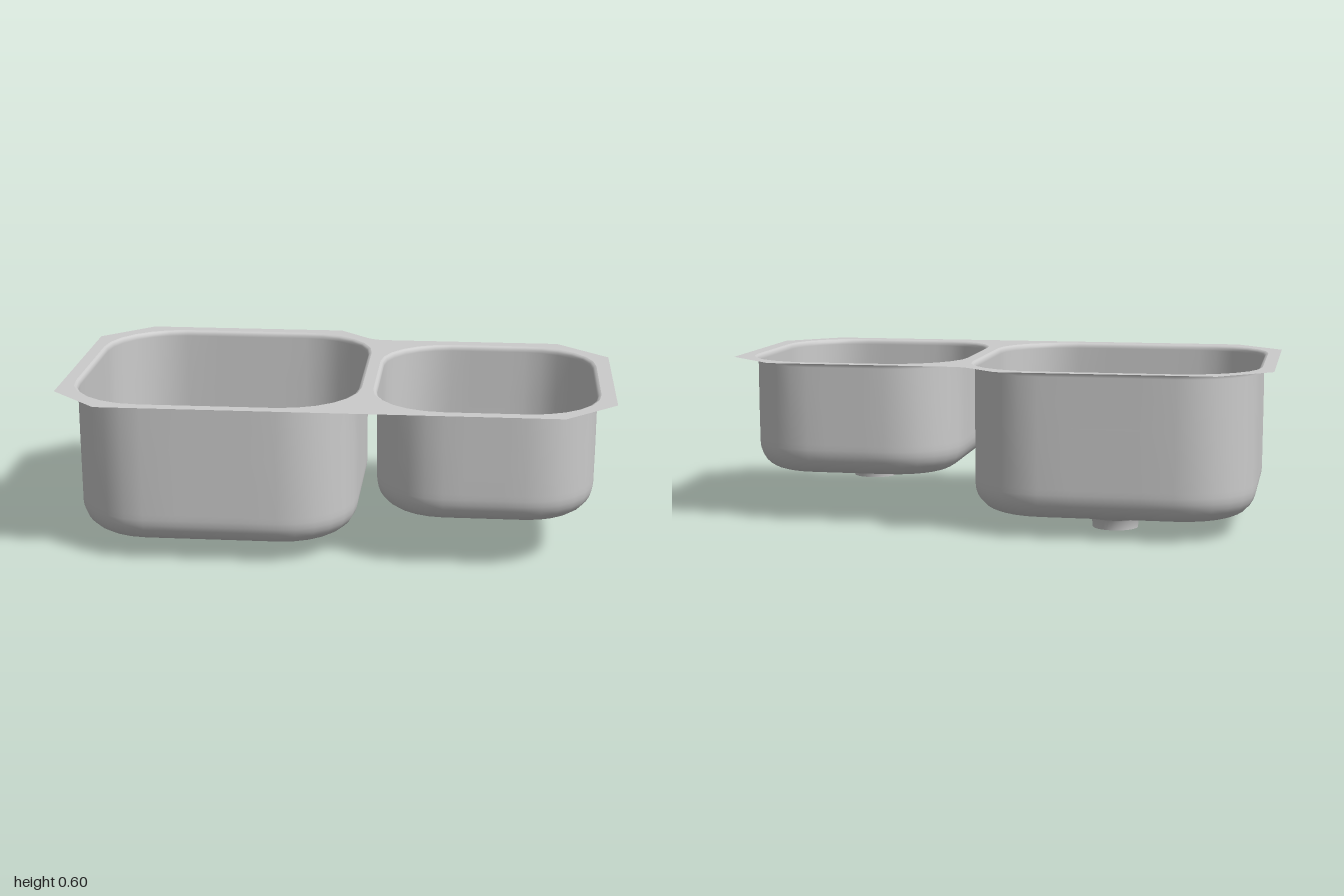
import * as THREE from 'three';
import { toCreasedNormals } from 'three/addons/utils/BufferGeometryUtils.js';

const TOP = 0.6;
const LIP = 0.014;
const steel = new THREE.MeshStandardMaterial({ color: 0xcccccc, side: THREE.DoubleSide });

const BOWLS = [
  { name: 'largeBowl', x0: -0.94, x1: 0.08, z0: -0.51, z1: 0.51, r: 0.27, floor: 0.068, drain: [-0.43, 0.055, -0.205] },
  { name: 'smallBowl', x0: 0.15, x1: 0.935, z0: -0.37, z1: 0.51, r: 0.25, floor: 0.18, drain: [0.54, 0.174, 0.065] },
];

// Rounded rectangle, moved inward by d, as [x, z] points
function outline(b, d) {
  const r = b.r - d, steps = 6, pts = [];
  const corners = [
    [b.x1 - b.r, b.z1 - b.r], [b.x0 + b.r, b.z1 - b.r],
    [b.x0 + b.r, b.z0 + b.r], [b.x1 - b.r, b.z0 + b.r],
  ];
  corners.forEach(([cx, cz], q) => {
    for (let i = 0; i <= steps; i++) {
      const a = (q + i / steps) * Math.PI / 2;
      pts.push([cx + r * Math.cos(a), cz + r * Math.sin(a)]);
    }
    // extra points along the straight side towards the next corner
    const [nx, nz] = corners[(q + 1) % 4];
    const [ex, ez] = pts[pts.length - 1];
    for (let i = 1; i < 4; i++) pts.push([ex + (nx - cx) * i / 4, ez + (nz - cz) * i / 4]);
  });
  return pts;
}

// Skin a list of equal-length rings of [x, y, z]
function loft(rings) {
  const n = rings[0].length, index = [];
  for (let k = 0; k < rings.length - 1; k++) {
    for (let i = 0; i < n; i++) {
      const a = k * n + i, b = k * n + (i + 1) % n;
      index.push(a, a + n, b, b, a + n, b + n);
    }
  }
  const g = new THREE.BufferGeometry();
  g.setAttribute('position', new THREE.Float32BufferAttribute(rings.flat(2), 3));
  g.setIndex(index);
  g.computeVertexNormals();
  return g;
}

function bowlGeometry(b) {
  // [inset, height]: rolled lip, straight wall, bottom fillet
  const fillet = 0.095;
  const profile = [[-LIP, TOP], [-0.006, TOP - 0.003], [-0.001, TOP - 0.01], [0, TOP - 0.02], [0, 0.4], [0.001, b.floor + fillet + 0.02]];
  for (let i = 0; i <= 7; i++) {
    const a = i / 7 * Math.PI / 2;
    profile.push([0.001 + fillet * (1 - Math.cos(a)), b.floor + fillet * (1 - Math.sin(a))]);
  }
  const rings = profile.map(([d, y]) => outline(b, d).map(([x, z]) => [x, y, z]));

  // Floor falls gently to the round drain opening
  const edge = rings[rings.length - 1];
  const [dx, dy, dz] = b.drain;
  for (const t of [0.1, 0.4, 0.7, 1]) {
    rings.push(edge.map(([x, y, z]) => {
      const s = 0.13 / Math.hypot(x - dx, z - dz);
      const target = [dx + (x - dx) * s, dy, dz + (z - dz) * s];
      return [x, y, z].map((v, i) => v + (target[i] - v) * t);
    }));
  }
  return loft(rings);
}

function drainGeometry() {
  // Flange, recess, cup and centre stud
  const profile = [
    [0.135, 0.001], [0.126, -0.003], [0.118, -0.011], [0.1, -0.015], [0.09, -0.015],
    [0.086, -0.021], [0.083, -0.054], [0.02, -0.054], [0.018, -0.046], [0, -0.046],
  ].map(([x, y]) => new THREE.Vector2(x, y));
  return toCreasedNormals(new THREE.LatheGeometry(profile, 40), 0.6);
}

function rimGeometry() {
  // Drawn with shape y = -z so the sheet faces up once laid flat
  const s = new THREE.Shape();
  s.moveTo(-1, -0.39);
  s.lineTo(-0.82, -0.57);
  s.lineTo(0.815, -0.57);
  s.lineTo(1, -0.39);
  s.lineTo(1, 0.25);
  s.lineTo(0.81, 0.435);
  s.lineTo(0.14, 0.435);
  s.quadraticCurveTo(0.095, 0.435, 0.065, 0.46);
  s.lineTo(-0.05, 0.572);
  s.lineTo(-0.815, 0.572);
  s.lineTo(-1, 0.395);
  s.closePath();
  for (const b of BOWLS) {
    s.holes.push(new THREE.Path(outline(b, -LIP).map(([x, z]) => new THREE.Vector2(x, -z))));
  }
  return new THREE.ShapeGeometry(s, 6).rotateX(-Math.PI / 2).translate(0, TOP, 0);
}

export function createModel() {
  const sink = new THREE.Group();
  sink.name = 'doubleSink';
  const add = (name, geometry) => {
    const mesh = new THREE.Mesh(geometry, steel);
    mesh.name = name;
    sink.add(mesh);
    return mesh;
  };

  add('rim', rimGeometry());
  for (const b of BOWLS) {
    add(b.name, bowlGeometry(b));
    add(b.name + 'Drain', drainGeometry()).position.set(...b.drain);
  }
  return sink;
}
